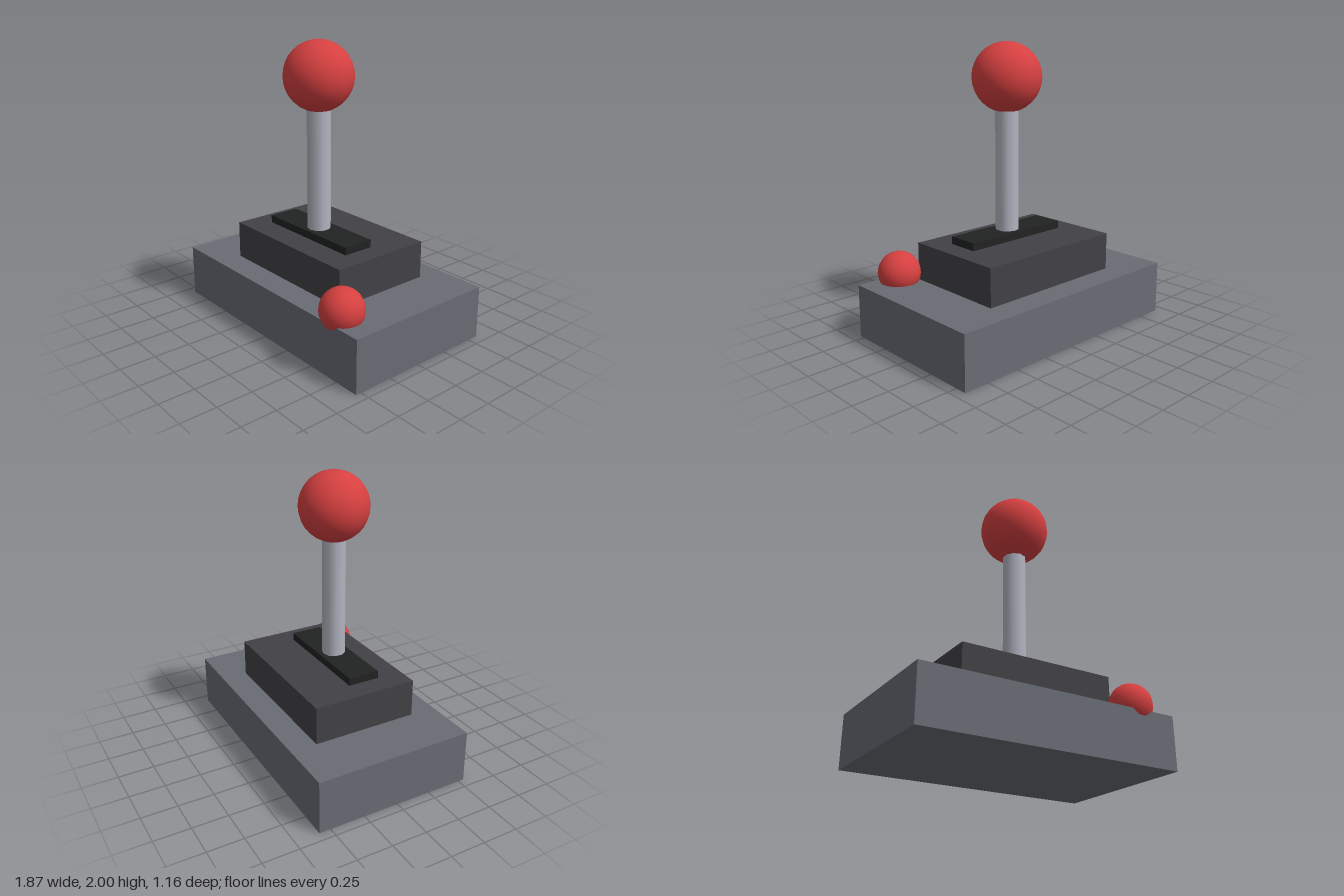
import * as THREE from 'three';

const paint = (name, color) => {
  const m = new THREE.MeshStandardMaterial({ color });
  m.name = name;
  return m;
};

export function createModel() {
  const group = new THREE.Group();
  group.name = 'joystick';

  const grey = paint('base grey', 0x696c74);
  const charcoal = paint('charcoal', 0x424145);
  const black = paint('slot black', 0x212322);
  const steel = paint('steel', 0xb3b5c0);
  const red = paint('red', 0xd64040);

  const add = (name, geometry, material, x, y, z) => {
    const mesh = new THREE.Mesh(geometry, material);
    mesh.name = name;
    mesh.position.set(x, y, z);
    group.add(mesh);
  };
  // Box standing on height y
  const block = (name, material, w, h, d, y, z) =>
    add(name, new THREE.BoxGeometry(w, h, d), material, 0, y + h / 2, z);

  // Stepped housing
  block('base', grey, 1.867, 0.373, 1.12, 0, -0.02);
  block('upperHousing', charcoal, 1.12, 0.265, 0.747, 0.373, -0.02);
  block('stickSlot', black, 0.82, 0.056, 0.224, 0.636, 0.055);

  // Stick and ball grip
  add('stick', new THREE.CylinderGeometry(0.082, 0.082, 0.95, 10), steel, 0, 1.165, 0.055);
  add('ballGrip', new THREE.SphereGeometry(0.241, 24, 16), red, 0, 1.759, 0.055);

  // Round button on the front left corner
  add('fireButton', new THREE.SphereGeometry(0.149, 20, 14), red, 0.672, 0.432, 0.428);

  return group;
}
